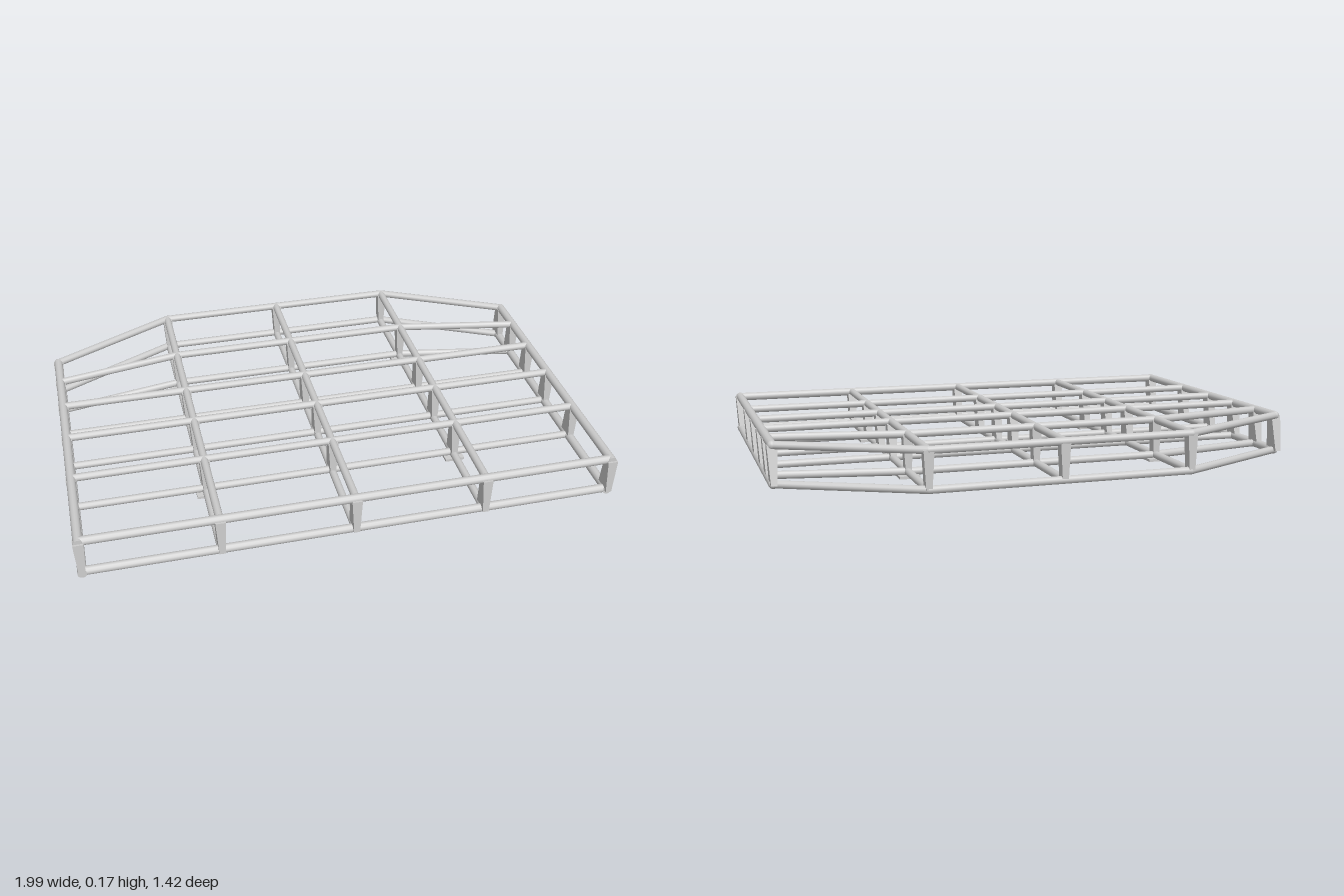
import * as THREE from 'three';

const grey = new THREE.MeshStandardMaterial({ color: 0xcccccc });
const flatGrey = new THREE.MeshStandardMaterial({ color: 0xcccccc, flatShading: true });
const LOW = 0.021, HIGH = 0.158;
const SIDE = 0.976, MID = 0.489;

// Round bar between two points
function bar(name, a, b, r) {
  const from = new THREE.Vector3(...a), to = new THREE.Vector3(...b);
  const dir = to.clone().sub(from);
  const mesh = new THREE.Mesh(new THREE.CylinderGeometry(r, r, dir.length(), 12), grey);
  mesh.position.copy(from).add(to).multiplyScalar(0.5);
  mesh.quaternion.setFromUnitVectors(new THREE.Vector3(0, 1, 0), dir.normalize());
  mesh.name = name;
  return mesh;
}

// Ball that closes a bend between two bars
function joint(x, y, z, r) {
  const mesh = new THREE.Mesh(new THREE.SphereGeometry(r, 12, 8), grey);
  mesh.position.set(x, y, z);
  mesh.name = 'bendJoint';
  return mesh;
}

// One layer of the frame
function frameLayer(y) {
  const layer = new THREE.Group();
  const r = 0.0145, rail = 0.0165;
  // Bars running front to back
  for (const x of [-MID, 0, MID]) layer.add(bar('longBar', [x, y, -0.695], [x, y, 0.68], r));
  // Straight cross bars
  for (const z of [0.68, 0.333, 0.085, -0.127])
    layer.add(bar('crossBar', [-SIDE, y, z], [SIDE, y, z], z > 0.6 ? rail : r));
  // Bent cross bar and rear edge
  layer.add(bar('bentBarMiddle', [-MID, y, -0.393], [MID, y, -0.393], r));
  layer.add(bar('rearBar', [-MID, y, -0.695], [MID, y, -0.695], r));
  for (const s of [-1, 1]) {
    layer.add(bar('sideRail', [s * SIDE, y, -0.45], [s * SIDE, y, 0.697], rail));
    layer.add(bar('bentBarEnd', [s * MID, y, -0.393], [s * SIDE, y, -0.302], r));
    layer.add(bar('rearDiagonal', [s * MID, y, -0.695], [s * SIDE, y, -0.45], r));
    layer.add(joint(s * MID, y, -0.393, r), joint(s * MID, y, -0.695, r));
    layer.add(joint(s * SIDE, y, -0.45, rail));
  }
  return layer;
}

// Post that is broad across at the top and broad along at the foot
function post(x, z, straight) {
  const geo = new THREE.BoxGeometry(1, 1, 1);
  const p = geo.attributes.position;
  for (let i = 0; i < p.count; i++) {
    const top = p.getY(i) > 0, front = p.getZ(i) > 0;
    const halfX = top ? 0.019 : 0.011;
    const zEdge = straight ? (front ? 0.018 : -0.018)
      : front ? (top ? 0.024 : 0.028) : (top ? -0.012 : -0.038);
    p.setXYZ(i, Math.sign(p.getX(i)) * halfX, top ? HIGH : LOW, zEdge);
  }
  geo.computeVertexNormals();
  const mesh = new THREE.Mesh(geo, flatGrey);
  mesh.position.set(x, 0, z);
  mesh.name = 'post';
  return mesh;
}

export function createModel() {
  const model = new THREE.Group();
  model.name = 'spaceFrame';
  const frame = new THREE.Group();
  frame.name = 'frame';
  frame.position.x = -0.004;
  model.add(frame);

  const lower = frameLayer(LOW), upper = frameLayer(HIGH);
  lower.name = 'lowerFrame';
  upper.name = 'upperFrame';
  frame.add(lower, upper);

  // Posts at every crossing
  const posts = new THREE.Group();
  posts.name = 'posts';
  for (const x of [-SIDE, -MID, 0, MID, SIDE]) {
    const outer = Math.abs(x) === SIDE;
    for (const z of [0.68, 0.333, 0.085, -0.127]) posts.add(post(x, z, false));
    posts.add(post(x, outer ? -0.305 : -0.39, !outer));
    posts.add(post(x, outer ? -0.447 : -0.69, !outer));
  }
  frame.add(posts);

  // Square foot pads
  for (const x of [-MID, MID]) for (const z of [0.333, -0.393]) {
    const pad = new THREE.Mesh(new THREE.BoxGeometry(0.075, 0.01, 0.07), flatGrey);
    pad.position.set(x, 0.005, z);
    pad.name = 'footPad';
    frame.add(pad);
  }
  return model;
}
